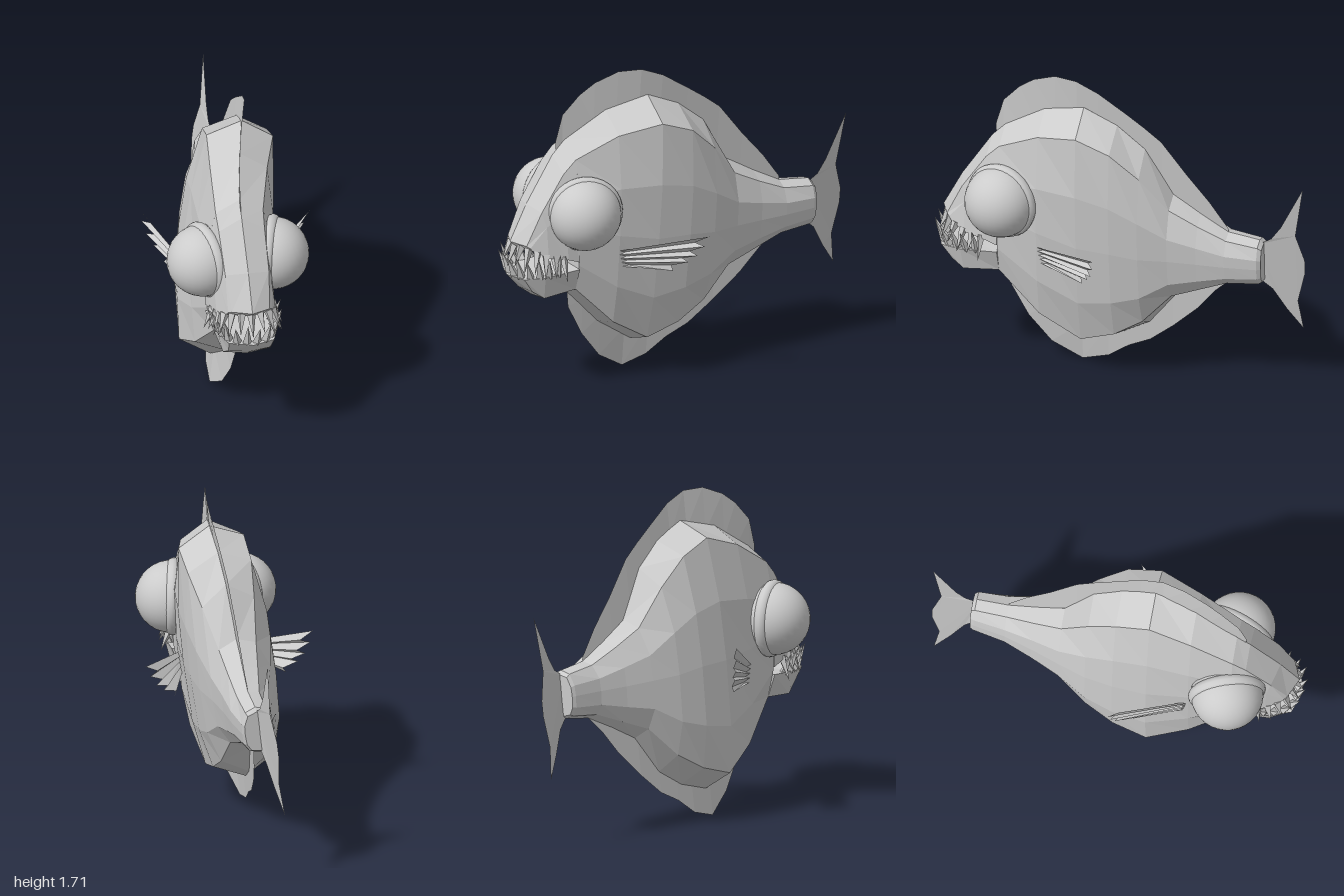
import * as THREE from 'three';

const V = (x, y, z) => new THREE.Vector3(x, y, z);

// Piecewise linear lookup in [key, value] pairs with falling keys
function lookup(pairs, k) {
  if (k >= pairs[0][0]) return pairs[0][1];
  for (let i = 1; i < pairs.length; i++) {
    const [k0, v0] = pairs[i - 1], [k1, v1] = pairs[i];
    if (k >= k1) return v0 + (v1 - v0) * (k0 - k) / (k0 - k1);
  }
  return pairs[pairs.length - 1][1];
}

// Swimming pose: the spine curves sideways and the trunk rolls behind the head
const SPINE = [[0.95, -0.085], [0.6, -0.075], [0.2, -0.035], [-0.05, 0], [-0.3, 0.04],
  [-0.6, 0.105], [-0.78, 0.128], [-1, 0.1]];
const ROLL = [[0.65, 0], [0.18, 0.12]];
function pose(p) {
  const r = lookup(ROLL, p.z);
  return V(p.x + lookup(SPINE, p.z) + r * (p.y - 0.85), p.y - r * p.x, p.z + 0.08 * p.x);
}

const skin = new THREE.MeshStandardMaterial({ color: 0xcccccc, flatShading: true });
const finMat = new THREE.MeshStandardMaterial({ color: 0xcccccc, flatShading: true, side: THREE.DoubleSide });
const smooth = new THREE.MeshStandardMaterial({ color: 0xcccccc });

function meshFrom(points, index, material, name) {
  const g = new THREE.BufferGeometry().setFromPoints(points.map(pose));
  g.setIndex(index);
  g.computeVertexNormals();
  const m = new THREE.Mesh(g, material);
  m.name = name;
  return m;
}

// Loft mirrored half sections (top centre to bottom centre), front to back, with end caps
function loft(halves, name) {
  const rings = halves.map(h => {
    const pts = h.map(p => V(...p));
    const mirrored = pts.slice(1, -1).reverse().map(p => V(-p.x, p.y, p.z));
    return [...pts, ...mirrored];
  });
  const n = rings[0].length, last = (rings.length - 1) * n, index = [];
  for (let i = 0; i < rings.length - 1; i++) {
    for (let j = 0; j < n; j++) {
      const k = (j + 1) % n, a = i * n + j, b = i * n + k;
      index.push(a, b, b + n, a, b + n, a + n);
    }
  }
  for (let j = 1; j < n - 1; j++) index.push(0, j + 1, j, last, last + j, last + j + 1);
  return meshFrom(rings.flat(), index, skin, name);
}

// Sheet between two equally long rows of points
function sheet(rowA, rowB, name) {
  const n = rowA.length, index = [];
  for (let i = 0; i < n - 1; i++) index.push(i, i + 1, n + i + 1, i, n + i + 1, n + i);
  return meshFrom([...rowA, ...rowB], index, finMat, name);
}

// z, ridge y, shoulder y, shoulder width, flank width, lower edge y, lower width, keel y
const TRUNK = [
  [0.62, 1.36, 1.29, 0.125, 0.175, 0.57, 0.13, 0.53],
  [0.4, 1.5, 1.41, 0.15, 0.205, 0.36, 0.165, 0.3],
  [0.18, 1.56, 1.47, 0.175, 0.225, 0.235, 0.175, 0.15],
  [0, 1.48, 1.4, 0.17, 0.225, 0.29, 0.165, 0.2],
  [-0.15, 1.36, 1.26, 0.14, 0.205, 0.38, 0.14, 0.29],
  [-0.3, 1.11, 1.07, 0.1, 0.165, 0.54, 0.1, 0.49],
  [-0.45, 1.02, 0.99, 0.08, 0.13, 0.6, 0.08, 0.57],
  [-0.6, 0.94, 0.92, 0.06, 0.105, 0.66, 0.06, 0.64],
  [-0.77, 0.92, 0.9, 0.055, 0.085, 0.68, 0.055, 0.665],
  [-0.79, 0.9, 0.885, 0.05, 0.075, 0.69, 0.05, 0.68]];

function trunkSection([z, ridge, sh, wSh, wMid, low, wLow, keel]) {
  const at = t => sh + (low - sh) * t;
  return [[0, ridge, z], [wSh, sh, z], [wMid * 0.97, at(0.27), z], [wMid, at(0.52), z],
    [wMid * 0.95, at(0.8), z], [wLow, low, z], [0, keel, z]];
}

// Teeth along a mirrored lip path, leaning outwards
function teeth(lip, count, rise, name) {
  const group = new THREE.Group();
  group.name = name;
  const right = lip.map(p => V(...p));
  const left = right.slice(0, -1).reverse().map(p => V(-p.x, p.y, p.z));
  const path = new THREE.CatmullRomCurve3([...right, ...left]);
  for (let i = 0; i < count; i++) {
    const base = path.getPointAt(i / (count - 1));
    const out = V(base.x, 0, (base.z - 0.7) * 0.8).normalize();
    const size = i % 2 ? 0.85 : 1;
    const tip = pose(base.clone().addScaledVector(out, 0.04).add(V(0, rise * size, 0)));
    const root = pose(base.clone().addScaledVector(out, -0.012));
    const dir = tip.clone().sub(root);
    const tooth = new THREE.Mesh(new THREE.ConeGeometry(0.024, dir.length(), 4), skin);
    tooth.name = 'tooth';
    tooth.position.copy(root).lerp(tip, 0.5);
    tooth.quaternion.setFromUnitVectors(V(0, 1, 0), dir.normalize());
    group.add(tooth);
  }
  return group;
}

// Eyeball set in a round socket rim facing out and slightly forward
function eye(x, z, side, yaw) {
  const g = new THREE.Group();
  g.name = side > 0 ? 'leftEye' : 'rightEye';
  const ball = new THREE.Mesh(new THREE.SphereGeometry(0.19, 32, 20), smooth);
  ball.name = 'eyeball';
  const rim = new THREE.Mesh(new THREE.TorusGeometry(0.168, 0.036, 12, 36), smooth);
  rim.name = 'eyeSocket';
  rim.position.z = -0.01;
  g.add(ball, rim);
  g.position.set(x, 1, z);
  g.rotation.y = side * yaw;
  return g;
}

// Pleated fan of five rays with notched tips
function pectoralFin(side) {
  const tips = [[0.45, 0.92, 0.02], [0.43, 0.855, 0.03], [0.4, 0.79, 0.05], [0.36, 0.74, 0.08], [0.3, 0.67, 0.13]];
  const base = [], edge = [];
  tips.forEach((t, i) => {
    const root = V(0.195, 0.775 - 0.022 * i, 0.41 - 0.005 * i), tip = V(...t);
    if (i > 0) {
      const notch = edge[edge.length - 1].clone().lerp(tip, 0.6).lerp(root, 0.14);
      base.push(root.clone().add(V(-0.012, 0.006, -0.01)));
      edge.push(notch.add(V(-0.02, 0, -0.015)));
    }
    base.push(root);
    edge.push(tip);
  });
  for (const p of [...base, ...edge]) p.x *= side;
  return sheet(base, edge, side > 0 ? 'leftPectoralFin' : 'rightPectoralFin');
}

export function createModel() {
  const fish = new THREE.Group();
  fish.name = 'fish';

  fish.add(loft(TRUNK.map(trunkSection), 'body'));

  // Snout above the open mouth
  fish.add(loft([
    [[0, 0.86, 0.95], [0.1, 0.855, 0.905], [0.115, 0.845, 0.89], [0.12, 0.83, 0.88], [0, 0.835, 0.93]],
    [[0, 1.05, 0.85], [0.115, 1.03, 0.82], [0.135, 0.95, 0.8], [0.155, 0.785, 0.8], [0, 0.8, 0.8]],
    [[0, 1.29, 0.69], [0.12, 1.22, 0.69], [0.16, 1.03, 0.69], [0.172, 0.76, 0.69], [0, 0.775, 0.69]],
    [[0, 1.36, 0.62], [0.125, 1.29, 0.62], [0.17, 1.09, 0.62], [0.176, 0.735, 0.62], [0, 0.75, 0.62]],
  ], 'snout'));

  // Lower jaw
  fish.add(loft([
    [[0, 0.68, 0.97], [0.12, 0.68, 0.93], [0.11, 0.6, 0.875], [0, 0.6, 0.9]],
    [[0, 0.67, 0.82], [0.155, 0.68, 0.82], [0.125, 0.555, 0.81], [0, 0.54, 0.82]],
    [[0, 0.69, 0.62], [0.176, 0.695, 0.62], [0.13, 0.57, 0.62], [0, 0.53, 0.62]],
  ], 'lowerJaw'));

  fish.add(teeth([[0.165, 0.775, 0.71], [0.15, 0.795, 0.8], [0.11, 0.835, 0.89], [0, 0.845, 0.93]],
    13, -0.125, 'upperTeeth'));
  fish.add(teeth([[0.155, 0.68, 0.74], [0.145, 0.68, 0.83], [0.1, 0.68, 0.92], [0, 0.68, 0.95]],
    12, 0.13, 'lowerTeeth'));

  fish.add(eye(0.11, 0.61, 1, 1.19), eye(-0.26, 0.59, -1, 1.32));

  // Dorsal and belly fins rise from the ridge and the keel
  const midFin = (outer, column, sink, name) => {
    const line = TRUNK.map(s => [s[0], s[column]]);
    return sheet(outer.map(([z, y]) => V(0, y, z)),
      outer.map(([z]) => V(0, lookup(line, z) + sink, z)), name);
  };
  fish.add(midFin([[0.66, 1.3], [0.67, 1.36], [0.63, 1.5], [0.54, 1.6], [0.46, 1.66], [0.34, 1.71], [0.22, 1.71],
    [0.1, 1.66], [-0.05, 1.56], [-0.15, 1.49], [-0.24, 1.42], [-0.38, 1.24], [-0.5, 1.1], [-0.6, 0.96]],
  1, -0.04, 'dorsalFin'));
  fish.add(midFin([[0.6, 0.53], [0.59, 0.42], [0.5, 0.25], [0.38, 0.1], [0.22, 0.002], [0.08, 0.04], [-0.03, 0.12],
    [-0.15, 0.18], [-0.28, 0.29], [-0.42, 0.43], [-0.52, 0.56], [-0.6, 0.64]],
  7, 0.04, 'bellyFin'));

  // Forked tail fin, drawn in the z-y plane
  const tail = [[-0.76, 0.89], [-0.83, 0.93], [-0.88, 1], [-1, 1.24], [-0.955, 0.95], [-1, 0.8], [-1, 0.72],
    [-0.96, 0.55], [-0.985, 0.38], [-0.9, 0.5], [-0.83, 0.62], [-0.76, 0.68]].map(p => new THREE.Vector2(...p));
  const tris = THREE.ShapeUtils.triangulateShape(tail, []);
  fish.add(meshFrom(tail.map(p => V(0, p.y, p.x)), tris.flat(), finMat, 'tailFin'));

  fish.add(pectoralFin(1), pectoralFin(-1));
  return fish;
}
